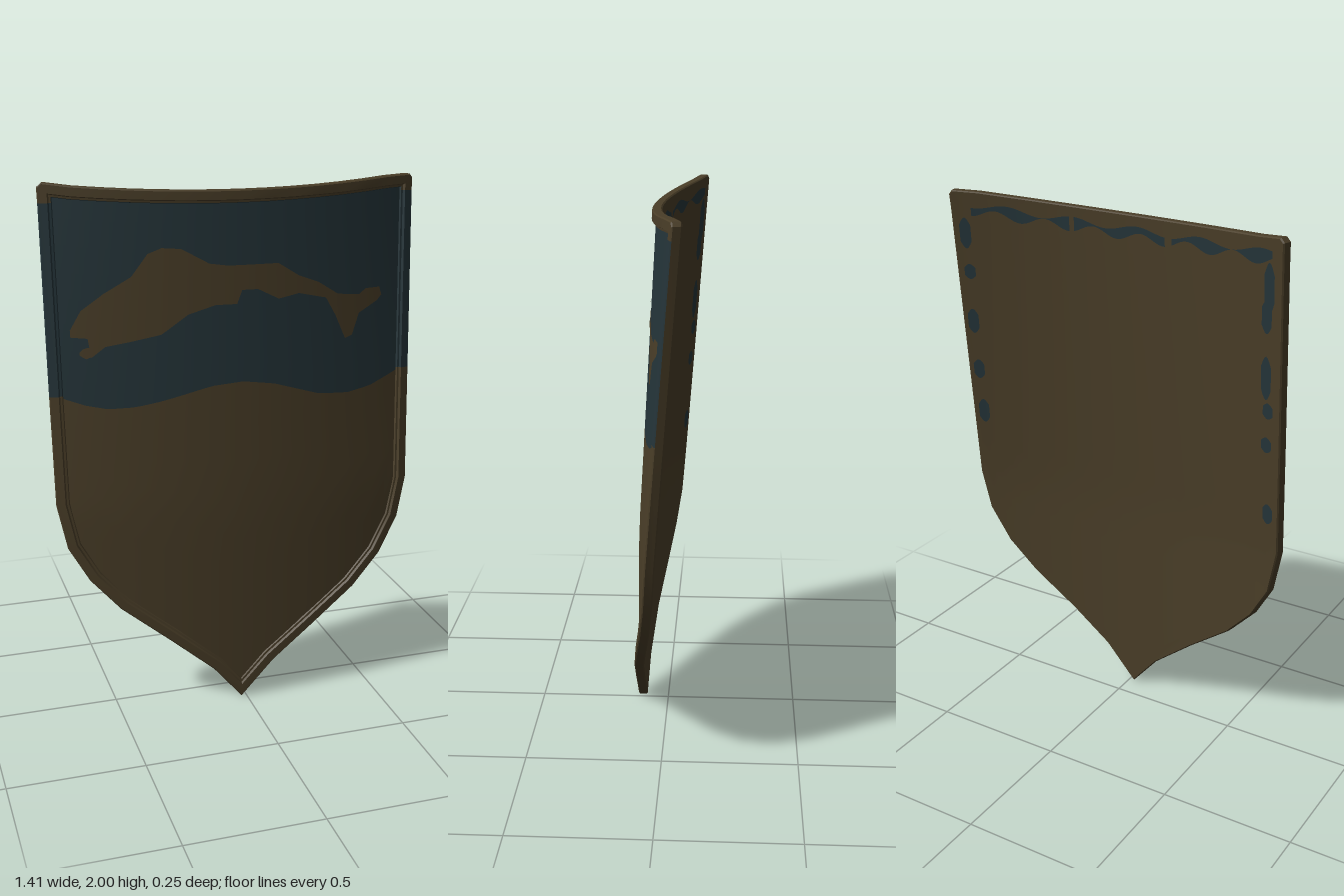
import * as THREE from 'three';
import { toCreasedNormals } from 'three/addons/utils/BufferGeometryUtils.js';

const brown = new THREE.MeshStandardMaterial({ color: 0x4a3e28 });
brown.name = 'worn brown';
const blue = new THREE.MeshStandardMaterial({ color: 0x25353a });
blue.name = 'faded blue';

// Curved, backward-leaning shield surface; d is the offset along its normal
function onShield(x, y, d) {
  const t = THREE.MathUtils.clamp((y - 0.8) / 1.2, 0, 1);
  const centre = y > 0.8 ? 0.112 - 0.067 * t : 0.112 + 0.01 * (0.8 - y);
  const bend = 0.19 + 0.05 * t;
  return [x * (1 + 0.45 * d), y, centre - bend * x * x + 0.036 * x + d];
}

// Piecewise-linear curve through [x, y] points
const curve = (pts) => (x) => {
  let i = 1;
  while (i < pts.length - 1 && x > pts[i][0]) i++;
  const [a, b] = [pts[i - 1], pts[i]];
  return THREE.MathUtils.lerp(a[1], b[1], THREE.MathUtils.clamp((x - a[0]) / (b[0] - a[0]), 0, 1));
};

const leftSide = [[-0.69, 2], [-0.706, 1.985], [-0.705, 1.93], [-0.703, 1.24], [-0.70, 0.83], [-0.665, 0.66],
  [-0.59, 0.53], [-0.48, 0.41], [-0.3, 0.27], [-0.13, 0.13], [-0.02, 0]];
const rightSide = [[0.11, 0.14], [0.27, 0.265], [0.45, 0.40], [0.565, 0.52], [0.645, 0.66], [0.68, 0.82],
  [0.688, 1.26], [0.70, 1.93], [0.702, 1.975], [0.69, 1.99]];
const topEdge = (x) => 1.968 + 0.058 * x * x;
const bottomEdge = curve([...leftSide.slice(4), ...rightSide.slice(0, 6)]);
const wave = curve([[-0.7, 1.245], [-0.58, 1.205], [-0.5, 1.19], [-0.4, 1.195], [-0.3, 1.215], [-0.12, 1.262],
  [0, 1.272], [0.12, 1.255], [0.3, 1.2], [0.42, 1.19], [0.52, 1.205], [0.6, 1.235], [0.69, 1.27]]);

// Sheet following the shield between two curves
function sheet(name, material, x0, x1, lo, hi, d, { cols = 40, rows = 8, back = false } = {}) {
  const pos = [], index = [];
  for (let i = 0; i <= cols; i++) {
    const x = x0 + (x1 - x0) * i / cols;
    for (let j = 0; j <= rows; j++) pos.push(...onShield(x, THREE.MathUtils.lerp(lo(x), hi(x), j / rows), d));
  }
  for (let i = 0; i < cols; i++) for (let j = 0; j < rows; j++) {
    const a = i * (rows + 1) + j, b = a + rows + 1;
    if (back) index.push(a, b + 1, b, a, a + 1, b + 1);
    else index.push(a, b, b + 1, a, b + 1, a + 1);
  }
  const g = new THREE.BufferGeometry();
  g.setAttribute('position', new THREE.Float32BufferAttribute(pos, 3));
  g.setIndex(index);
  g.computeVertexNormals();
  const m = new THREE.Mesh(g, material);
  m.name = name;
  return m;
}

// Raised border swept around the outline, split into plain and painted faces
function buildRim() {
  const outline = [...leftSide, ...rightSide];
  for (let i = 1; i < 14; i++) {
    const x = 0.69 - 1.38 * i / 14;
    outline.push([x, topEdge(x)]);
  }
  const n = outline.length;
  const profile = [[0.045, -0.035], [0.004, -0.035], [0, -0.03], [0, -0.004], [0.004, 0], [0.034, 0], [0.038, -0.008],
    [0.045, -0.009], [0.049, -0.018]];
  const rings = outline.map((p, i) => {
    const a = outline[(i + n - 1) % n], b = outline[(i + 1) % n];
    const n1 = new THREE.Vector2(a[1] - p[1], p[0] - a[0]).normalize();
    const n2 = new THREE.Vector2(p[1] - b[1], b[0] - p[0]).normalize();
    const miter = n1.clone().add(n2).divideScalar(1 + n1.dot(n2));
    return profile.map(([s, d]) => onShield(p[0] + miter.x * s, p[1] + miter.y * s, d));
  });
  const faces = { plain: [], painted: [] };
  for (let i = 0; i < n; i++) {
    const j = (i + 1) % n;
    const mid = (outline[i][1] + outline[j][1]) / 2;
    const onSide = mid > 1.25 && mid < 1.93, onTop = mid > 1.93;
    for (let k = 0; k < profile.length - 1; k++) {
      const painted = (onSide && k >= 3) || (onTop && k >= 7);
      const [a, b, c, d] = [rings[i][k], rings[j][k], rings[j][k + 1], rings[i][k + 1]];
      faces[painted ? 'painted' : 'plain'].push(...a, ...b, ...c, ...a, ...c, ...d);
    }
  }
  return Object.entries(faces).map(([key, pos]) => {
    const g = new THREE.BufferGeometry();
    g.setAttribute('position', new THREE.Float32BufferAttribute(pos, 3));
    const m = new THREE.Mesh(toCreasedNormals(g, 0.5), key === 'painted' ? blue : brown);
    m.name = key + 'Rim';
    return m;
  });
}

export function createModel() {
  const shield = new THREE.Group();
  shield.name = 'shield';
  shield.add(...buildRim());

  // Front and back panels
  const low = (x) => bottomEdge(x) + 0.025;
  const high = (x) => topEdge(x) - 0.02;
  shield.add(sheet('lowerPanel', brown, -0.68, 0.66, low, wave, -0.015));
  shield.add(sheet('upperPanel', blue, -0.68, 0.66, wave, high, -0.015));
  shield.add(sheet('backPanel', brown, -0.68, 0.665, low, high, -0.0355, { back: true, rows: 16 }));

  // Fish emblem: body with tail, and lower jaw
  const fishTop = curve([[-0.62, 1.48], [-0.58, 1.55], [-0.5, 1.61], [-0.4, 1.67], [-0.34, 1.75], [-0.29, 1.77],
    [-0.22, 1.765], [-0.12, 1.71], [-0.05, 1.70], [0.14, 1.70], [0.22, 1.65], [0.3, 1.62], [0.38, 1.57],
    [0.47, 1.56], [0.5, 1.58], [0.56, 1.58], [0.57, 1.55]]);
  const fishBottom = curve([[-0.62, 1.455], [-0.555, 1.45], [-0.55, 1.38], [-0.5, 1.42], [-0.42, 1.435], [-0.3, 1.46],
    [-0.2, 1.53], [-0.1, 1.56], [-0.02, 1.56], [0, 1.61], [0.06, 1.61], [0.14, 1.57], [0.22, 1.585], [0.33, 1.56],
    [0.37, 1.49], [0.41, 1.40], [0.44, 1.41], [0.47, 1.49], [0.55, 1.53], [0.57, 1.55]]);
  const jawTop = curve([[-0.59, 1.40], [-0.575, 1.415], [-0.545, 1.42]]);
  const jawBottom = curve([[-0.59, 1.39], [-0.57, 1.375], [-0.545, 1.385]]);
  const fish = new THREE.Group();
  fish.name = 'fishEmblem';
  fish.add(sheet('fishBody', brown, -0.62, 0.57, fishBottom, fishTop, -0.012, { cols: 119, rows: 3 }));
  fish.add(sheet('fishJaw', brown, -0.59, -0.545, jawBottom, jawTop, -0.012, { cols: 4, rows: 1 }));
  shield.add(fish);

  // Worn paint left along the back edges
  const wear = new THREE.Group();
  wear.name = 'backPaintWear';
  const stripTop = (x) => topEdge(x) - 0.05 - 0.012 * Math.sin(x * 23);
  const stripLow = (x) => topEdge(x) - 0.078 - 0.016 * Math.sin(x * 31 + 1);
  for (const [a, b] of [[-0.66, -0.22], [-0.19, 0.2], [0.22, 0.62]])
    wear.add(sheet('topWear', blue, a, b, stripLow, stripTop, -0.038, { back: true, cols: 30, rows: 1 }));
  const chips = [[-0.65, 1.82, 0.09], [-0.64, 1.72, 0.06], [-0.64, 1.5, 0.08], [-0.65, 1.38, 0.03], [-0.645, 1.25, 0.03],
    [-0.655, 0.98, 0.04], [0.65, 1.83, 0.06], [0.645, 1.68, 0.03], [0.65, 1.48, 0.05], [0.645, 1.28, 0.04], [0.64, 1.1, 0.05]];
  for (const [x, y, h] of chips) {
    const edge = (s) => (u) => y + s * h * (0.6 + 0.4 * Math.cos((u - x) * 80));
    wear.add(sheet('sideWear', blue, x - 0.022, x + 0.022, edge(-1), edge(1), -0.038, { back: true, cols: 6, rows: 1 }));
  }
  shield.add(wear);
  return shield;
}
